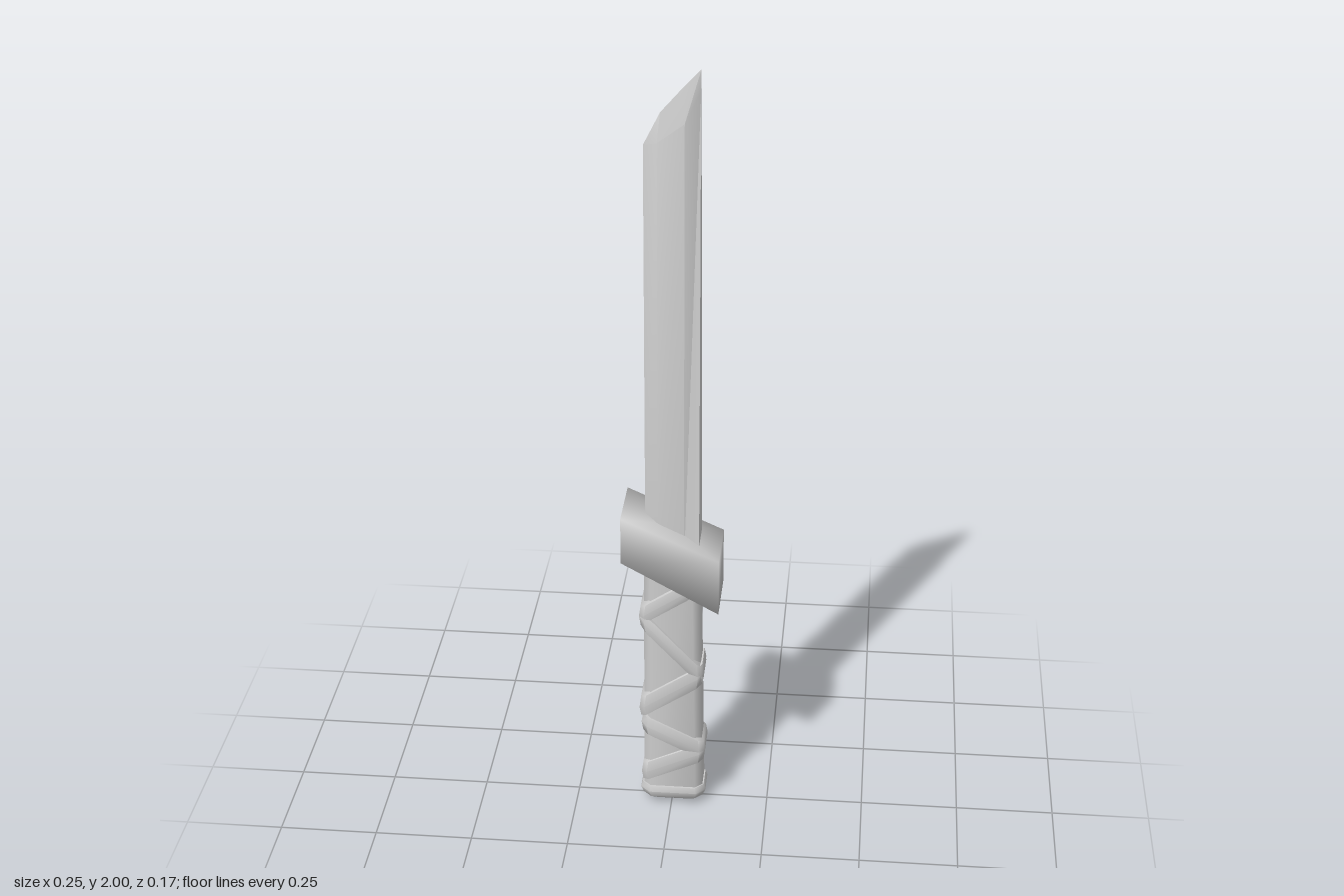
import * as THREE from 'three';
import { toCreasedNormals } from 'three/addons/utils/BufferGeometryUtils.js';

const steel = new THREE.MeshStandardMaterial({ color: 0xcccccc, side: THREE.DoubleSide });

// Skin a stack of rings (each a list of [x, y, z], running from +x towards +z), bottom to top.
function loft(name, rings, crease, capped = true) {
  const pos = [];
  const tri = (a, b, c) => pos.push(...a, ...b, ...c);
  const n = rings[0].length;
  for (let r = 0; r + 1 < rings.length; r++) {
    for (let i = 0; i < n; i++) {
      const j = (i + 1) % n;
      const [a, b, c, d] = [rings[r][i], rings[r][j], rings[r + 1][j], rings[r + 1][i]];
      tri(a, d, b);
      tri(b, d, c);
    }
  }
  if (capped) {
    const centre = ring => [0, 1, 2].map(k => ring.reduce((s, p) => s + p[k], 0) / n);
    const low = rings[0], high = rings[rings.length - 1];
    const cl = centre(low), ch = centre(high);
    for (let i = 0; i < n; i++) {
      const j = (i + 1) % n;
      tri(cl, low[i], low[j]);
      tri(ch, high[j], high[i]);
    }
  }
  const geometry = new THREE.BufferGeometry();
  geometry.setAttribute('position', new THREE.Float32BufferAttribute(pos, 3));
  const mesh = new THREE.Mesh(toCreasedNormals(geometry, crease), steel);
  mesh.name = name;
  return mesh;
}

// Rectangle with cut corners; height(x) lets the ring tilt from side to side.
function section(hx, hz, cut, height, cx = 0) {
  return [
    [hx, hz - cut], [hx - cut, hz], [cut - hx, hz], [-hx, hz - cut],
    [-hx, cut - hz], [cut - hx, -hz], [hx - cut, -hz], [hx, cut - hz],
  ].map(([x, z]) => [x + cx, height(x), z]);
}

// Blade ring from the +z half [x, y, z], mirrored in z; the cutting edge is shared.
function bladeRing(half) {
  const edge = half[half.length - 1];
  const side = half.slice(0, -1);
  return [...side, edge, ...side.map(([x, y, z]) => [x, y, -z]).reverse()];
}

export function createModel() {
  const model = new THREE.Group();
  model.name = 'shortSword';

  // Blade: wide spine at +x that tapers upward, sharp edge at -x, slanted tip
  model.add(loft('blade', [
    bladeRing([[0.07, 0.7, 0.05], [0.03, 0.7, 0.029], [-0.035, 0.7, 0.027], [-0.07, 0.7, 0]]),
    bladeRing([[0.065, 1.95, 0.006], [0.03, 1.88, 0.033], [-0.035, 1.83, 0.028], [-0.07, 1.815, 0]]),
    bladeRing([[0.065, 2, 0], [0.025, 1.958, 0], [-0.03, 1.895, 0], [-0.07, 1.815, 0]]),
  ], 0.75));

  // Slanted guard
  const guardRing = (yLeft, yRight) =>
    [[0.122, yRight, 0.084], [-0.123, yLeft, 0.084], [-0.123, yLeft, -0.084], [0.122, yRight, -0.084]];
  model.add(loft('guard', [guardRing(0.745, 0.61), guardRing(0.87, 0.76)], Math.PI));

  // Grip core
  model.add(loft('grip', [
    section(0.077, 0.05, 0.018, () => 0.04, 0.004),
    section(0.07, 0.046, 0.018, () => 0.74),
  ], 0.9));

  // Wraps: tilted bands as [height at -x, height at +x, band width]
  const wraps = [[0.095, 0.17, 0.065], [0.25, 0.17, 0.06], [0.295, 0.405, 0.07], [0.57, 0.395, 0.06], [0.57, 0.68, 0.06]];
  wraps.forEach(([yNeg, yPos, width], i) => {
    const profile = [[-0.5, -0.016], [-0.42, -0.003], [0, 0.001], [0.42, -0.003], [0.5, -0.016]];
    const cx = i < 2 ? 0.005 : 0;
    const rings = profile.map(([t, grow]) => section(0.082 + grow, 0.056 + grow, 0.014,
      x => (yNeg + yPos) / 2 + (yPos - yNeg) * x / 0.164 + t * width, cx));
    model.add(loft('wrap' + (i + 1), rings, 0.9, false));
  });

  // Rounded pommel
  const pommel = [[0, 0.025, 0.016], [0.008, 0.055, 0.036], [0.022, 0.078, 0.053], [0.04, 0.085, 0.059], [0.055, 0.08, 0.055]];
  model.add(loft('pommel', pommel.map(([y, hx, hz]) => section(hx, hz, hz * 0.4, () => y, 0.004)), 0.8));

  return model;
}
